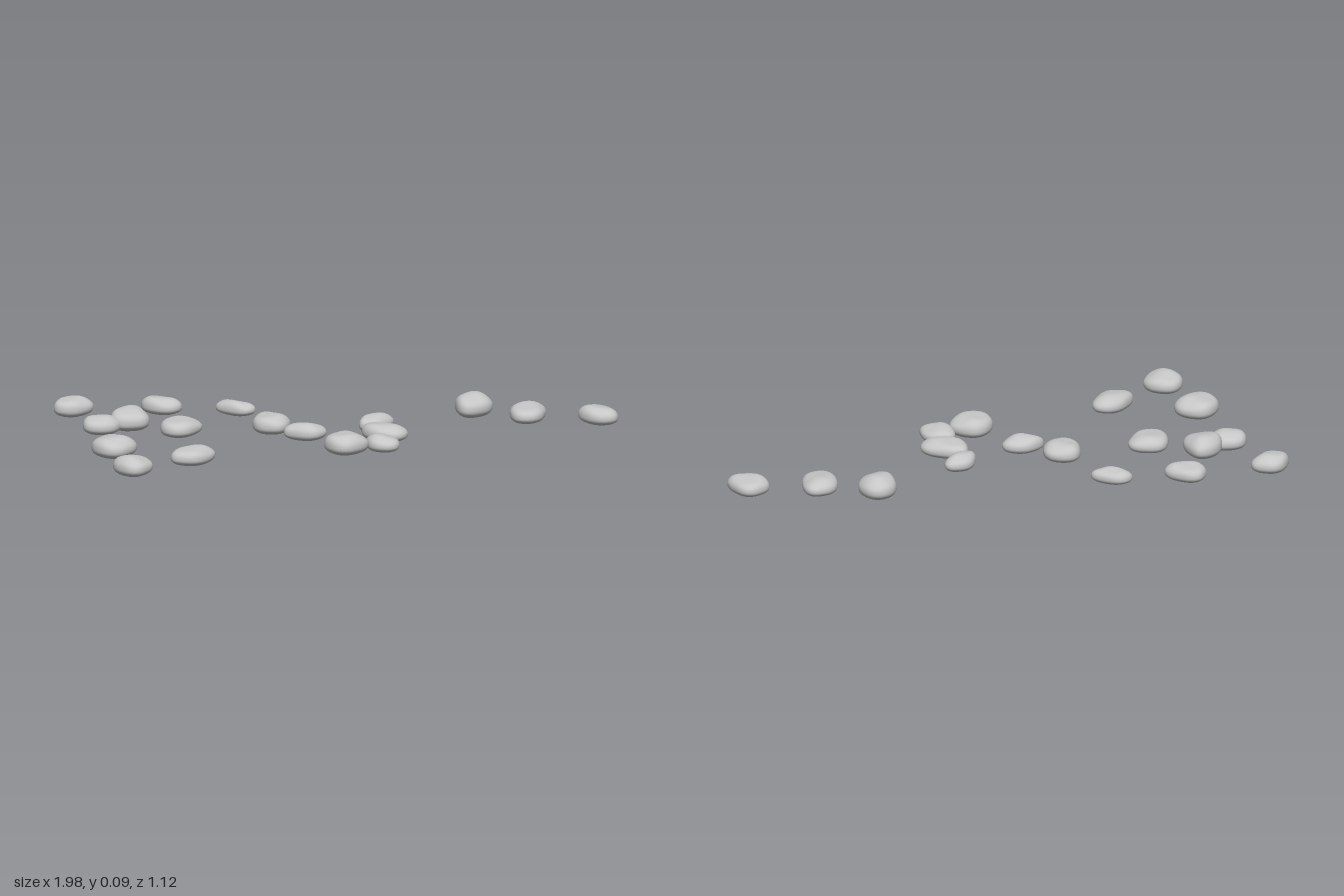
import * as THREE from 'three';
import { mergeVertices } from 'three/addons/utils/BufferGeometryUtils.js';

const BASE = 0.005;

// Each stone: centre x, centre z, half length, half width,
// turn of the long axis from +x towards +z (degrees), taper, height, optional waist pinch
const STONES = [
  [-0.925, -0.497, 0.076, 0.06, -25, 0.1, 0.076],
  [-0.602, -0.465, 0.08, 0.06, 50, 0, 0.07],
  [-0.34, -0.385, 0.076, 0.056, 45, -0.1, 0.06, 0.22],
  [-0.88, -0.2, 0.075, 0.066, -20, 0, 0.073],
  [-0.765, -0.242, 0.086, 0.07, -60, -0.2, 0.088],
  [-0.61, -0.105, 0.086, 0.072, -50, 0.1, 0.072],
  [-0.275, -0.08, 0.08, 0.07, -80, 0.1, 0.078],
  [-0.176, 0.055, 0.076, 0.052, 10, 0.1, 0.068],
  [0.103, -0.032, 0.076, 0.05, -35, 0.1, 0.068, 0.05],
  [0.1, 0.123, 0.094, 0.064, 48, 0.1, 0.07],
  [-0.08, 0.3, 0.082, 0.077, -45, 0, 0.085],
  [0.06, 0.283, 0.075, 0.06, 75, 0.15, 0.066],
  [0.5, -0.187, 0.088, 0.072, -65, 0.05, 0.09, 0.06],
  [0.677, -0.06, 0.097, 0.066, -65, 0, 0.072],
  [0.923, 0.028, 0.083, 0.066, 70, -0.1, 0.073],
  [-0.915, 0.168, 0.088, 0.08, -65, -0.05, 0.084],
  [-0.91, 0.468, 0.08, 0.07, 90, 0, 0.078],
  [-0.657, 0.347, 0.091, 0.062, -30, 0, 0.072],
];

// Flattened pebble: a sphere squashed to a tapered oval, with a softly lumpy top lower towards +x
function pebbleGeometry(length, width, turn, taper, height, pinch, phase) {
  const sphere = new THREE.SphereGeometry(1, 40, 24);
  sphere.deleteAttribute('uv');
  sphere.deleteAttribute('normal');
  const geometry = mergeVertices(sphere, 1e-4);
  const pos = geometry.attributes.position;
  for (let i = 0; i < pos.count; i++) {
    const x = pos.getX(i), y = pos.getY(i), z = pos.getZ(i);
    const angle = Math.atan2(z, x);
    const wobble = 1 + 0.03 * Math.sin(3 * angle + phase) + 0.03 * Math.sin(4 * angle + 2 * phase);
    const spread = Math.pow(Math.hypot(x, z), 0.85) * wobble;
    const u = spread * Math.cos(angle), v = spread * Math.sin(angle);
    const side = 1 + taper * u - pinch * (1 - Math.min(1, u * u));
    const level = Math.pow(Math.abs(y), 0.85);
    const slope = 0.15 * (x * Math.cos(turn) - z * Math.sin(turn));
    const lump = 0.12 * Math.sin(3.6 * x + phase) * Math.cos(3 * z - phase);
    const lift = y > 0 ? 0.55 * level * (1 - slope + lump) : -0.45 * level;
    pos.setXYZ(i, u * length, BASE + (height - BASE) * (0.45 + lift), v * width * side);
  }
  geometry.computeVertexNormals();
  return geometry;
}

export function createModel() {
  const group = new THREE.Group();
  group.name = 'scatteredStones';
  const stone = new THREE.MeshStandardMaterial({ color: 0xc6c6c6 });
  stone.name = 'stone grey';

  STONES.forEach(([x, z, length, width, degrees, taper, height, pinch = 0], i) => {
    const turn = THREE.MathUtils.degToRad(degrees);
    const mesh = new THREE.Mesh(pebbleGeometry(length, width, turn, taper, height, pinch, i * 2.4), stone);
    mesh.name = `stone${i + 1}`;
    mesh.position.set(x, 0, z);
    mesh.rotation.y = -turn;
    group.add(mesh);
  });
  return group;
}
